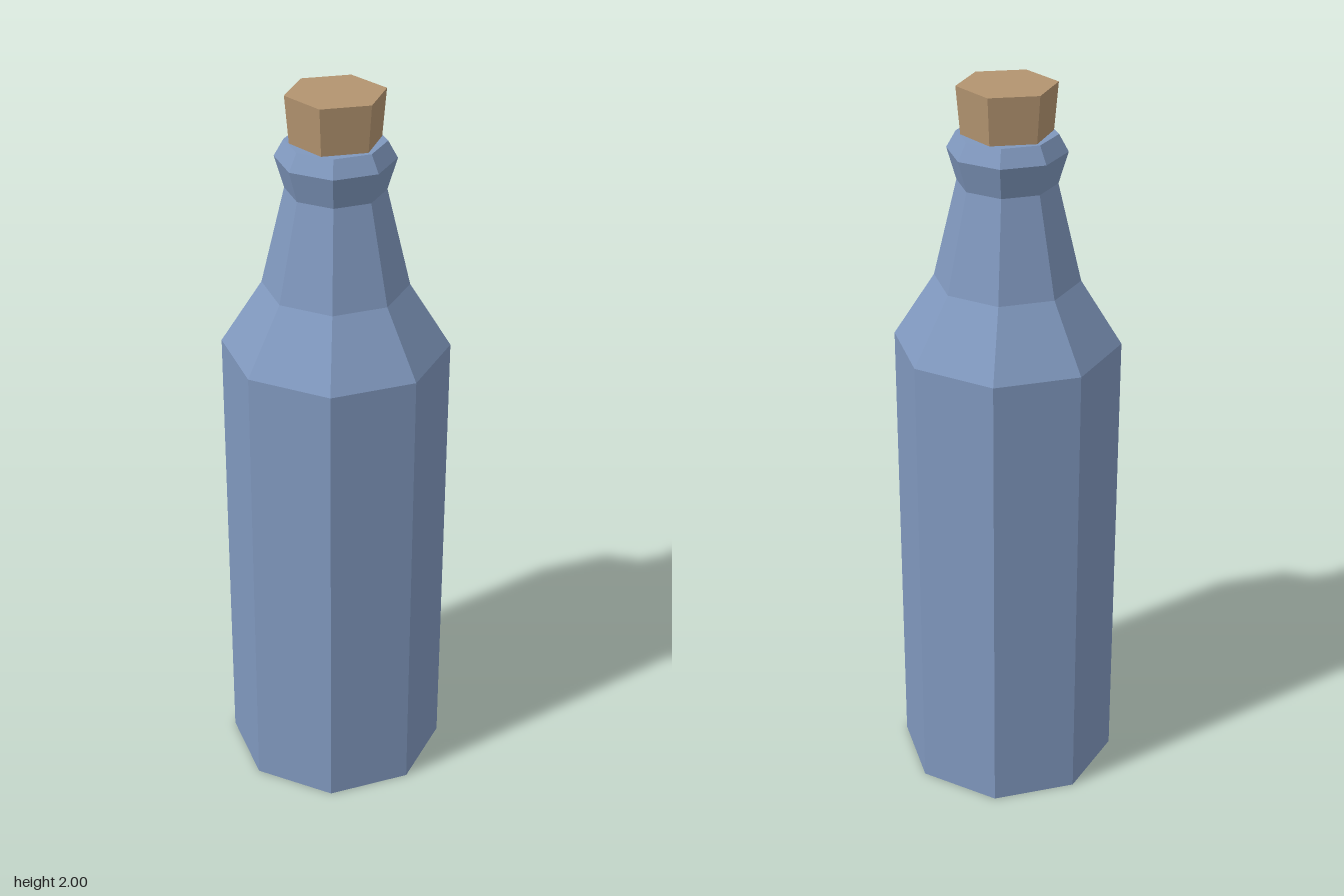
import * as THREE from 'three';

export function createModel() {
  const group = new THREE.Group();
  group.name = 'corkedBottle';

  const glass = new THREE.MeshStandardMaterial({ color: 0x8098be, flatShading: true });
  glass.name = 'blue glass';
  const corkMaterial = new THREE.MeshStandardMaterial({ color: 0xb39470, flatShading: true });
  corkMaterial.name = 'cork brown';

  // Eight-sided bottle: base, body, shoulder, neck and flared lip
  const profile = [
    [0, 0], [0.304, 0], [0.304, 1.305], [0.194, 1.48],
    [0.131, 1.745], [0.156, 1.83], [0.131, 1.875], [0, 1.875],
  ].map(([r, y]) => new THREE.Vector2(r, y));
  const bottle = new THREE.Mesh(new THREE.LatheGeometry(profile, 8), glass);
  bottle.name = 'bottle';
  group.add(bottle);

  // Six-sided tapered stopper, sunk slightly into the lip
  const corkGeometry = new THREE.CylinderGeometry(0.13, 0.118, 0.14, 6, 1, false, Math.PI / 6);
  const cork = new THREE.Mesh(corkGeometry, corkMaterial);
  cork.name = 'corkStopper';
  cork.position.y = 1.93;
  group.add(cork);

  return group;
}
